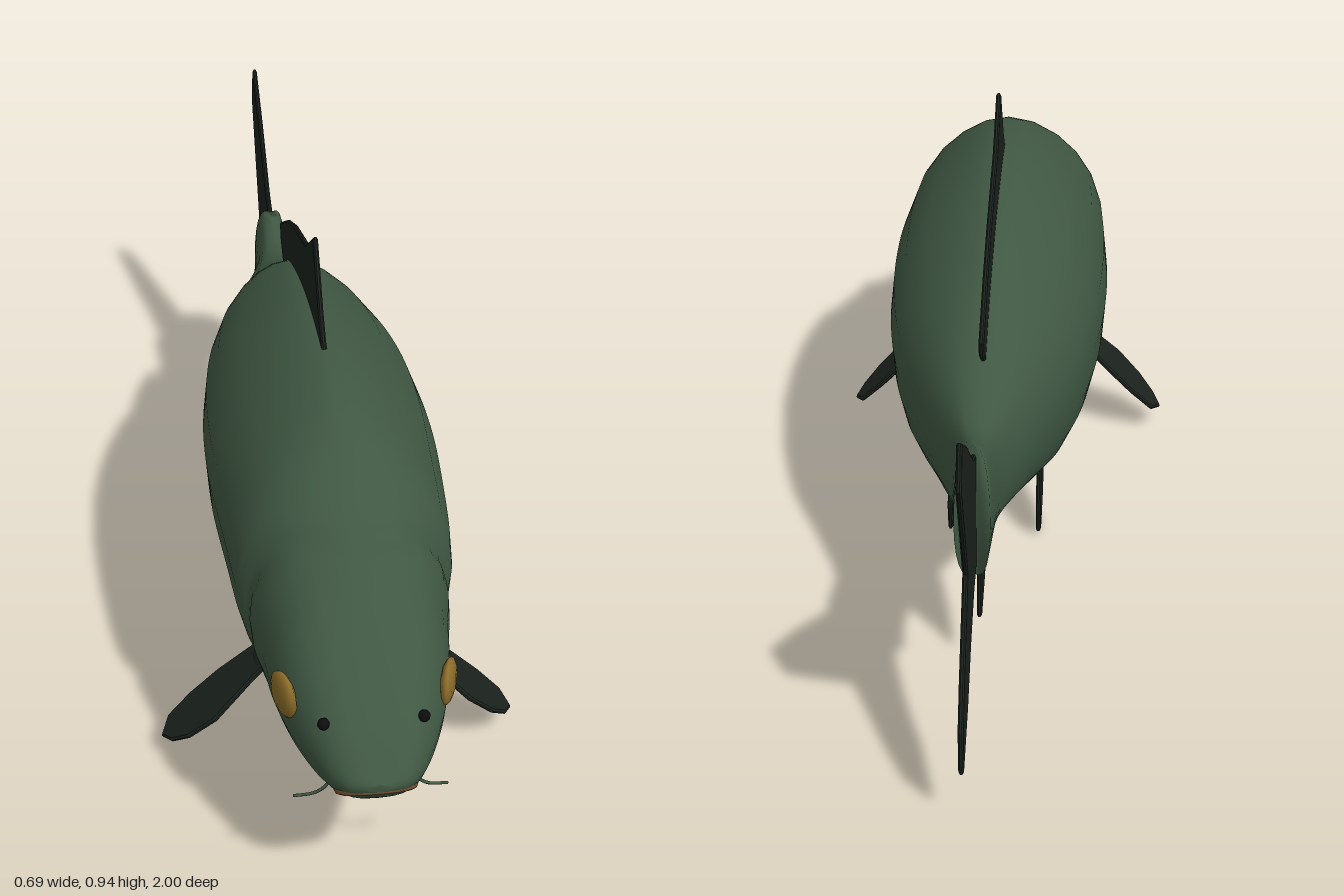
import * as THREE from 'three';

const mat = (color, side = THREE.FrontSide) => new THREE.MeshStandardMaterial({ color, side });
const skin = mat(0x405843);
const finMat = mat(0x1b221d, THREE.DoubleSide);
const gold = mat(0x8c6d2a);
const lipMat = mat(0x7a5730);
const dark = mat(0x0c0d0c);

// Body outline along z: back, belly and half width
const back = [[1, 0.36], [0.94, 0.43], [0.8, 0.55], [0.66, 0.645], [0.45, 0.75], [0.25, 0.775], [0, 0.753], [-0.25, 0.68], [-0.42, 0.585], [-0.55, 0.552], [-0.65, 0.578]];
const belly = [[1, 0.345], [0.97, 0.305], [0.9, 0.272], [0.65, 0.235], [0.25, 0.193], [0.03, 0.198], [-0.2, 0.24], [-0.42, 0.31], [-0.55, 0.333], [-0.65, 0.308]];
const girth = [[1, 0.02], [0.99, 0.052], [0.94, 0.095], [0.8, 0.157], [0.66, 0.191], [0.4, 0.213], [0.2, 0.222], [0, 0.212], [-0.2, 0.176], [-0.4, 0.102], [-0.55, 0.047], [-0.65, 0.033]];

// Smooth curve through [z, value] points listed from nose to tail
function curveAt(points, z) {
  const last = points.length - 1;
  let i = 0;
  while (i < last - 1 && z < points[i + 1][0]) i++;
  const slope = (k) => {
    const a = points[Math.max(k - 1, 0)], b = points[Math.min(k + 1, last)];
    return (b[1] - a[1]) / (b[0] - a[0]);
  };
  const [z0, v0] = points[i], [z1, v1] = points[i + 1];
  const h = z1 - z0, t = (z - z0) / h, u = 1 - t;
  return v0 * u * u * (1 + 2 * t) + v1 * t * t * (3 - 2 * t) + h * t * u * (u * slope(i) - t * slope(i + 1));
}

const bump = (z, centre, width) => Math.exp(-(((z - centre) / width) ** 2));
const { smoothstep } = THREE.MathUtils;

function bodyGeometry(rings = 110, sides = 24) {
  const pos = [], index = [];
  for (let i = 0; i <= rings; i++) {
    const z = 1 - 1.65 * (i / rings) ** 1.4;
    // Gill cover and cheek grooves, swept backward on the flanks like the tail root
    const groove = 1 - 0.05 * bump(z, 0.672, 0.018) - 0.02 * bump(z, 0.75, 0.02);
    const sweep = -0.09 * bump(z, 0.675, 0.1) - 0.045 * (1 - smoothstep(z, -0.65, -0.55));
    const ridge = (1 - smoothstep(z, 0.35, 0.72)) * smoothstep(z, -0.6, -0.1);
    const top = curveAt(back, z), bottom = curveAt(belly, z);
    const w = curveAt(girth, z) * groove, h = ((top - bottom) / 2) * groove;
    for (let j = 0; j < sides; j++) {
      const a = (j / sides) * Math.PI * 2;
      const c = Math.cos(a), s = Math.sin(a);
      // Broad belly, blunt head, narrow ridge along the back
      const power = c < 0 ? 0.75 : 0.65 + 0.35 * ridge;
      const pinch = c > 0 ? 1 - 0.42 * ridge * c ** 4 : 1;
      pos.push(Math.sign(s) * w * Math.abs(s) ** power * pinch, (top + bottom) / 2 + h * c, z + sweep * Math.abs(s));
    }
  }
  for (let i = 0; i < rings; i++) {
    for (let j = 0; j < sides; j++) {
      const k = (j + 1) % sides, p = i * sides, q = p + sides;
      index.push(p + j, p + k, q + j, p + k, q + k, q + j);
    }
  }
  // Close the nose and the tail root
  const end = rings * sides;
  for (let j = 1; j < sides - 1; j++) index.push(0, j + 1, j, end, end + j, end + j + 1);
  const g = new THREE.BufferGeometry();
  g.setAttribute('position', new THREE.Float32BufferAttribute(pos, 3));
  g.setIndex(index);
  g.computeVertexNormals();
  return g;
}

// Thin bevelled fin from an outline of [z, y] points, centred on x = 0
function fin(group, name, points) {
  const shape = new THREE.Shape(points.map(([z, y]) => new THREE.Vector2(z, y)));
  const g = new THREE.ExtrudeGeometry(shape, {
    depth: 0.004, bevelThickness: 0.003, bevelSize: 0.004, bevelOffset: -0.004, bevelSegments: 1,
  });
  g.translate(0, 0, -0.002).rotateY(-Math.PI / 2);
  return add(group, name, g, finMat);
}

function add(group, name, geometry, material, position = [0, 0, 0]) {
  const m = new THREE.Mesh(geometry, material);
  m.name = name;
  m.position.set(...position);
  group.add(m);
  return m;
}

export function createModel() {
  const fish = new THREE.Group();
  fish.name = 'fish';
  add(fish, 'body', bodyGeometry(), skin);

  // Fins on the centre line
  fin(fish, 'dorsalFin', [
    [0.26, 0.765], [0.2, 0.825], [0.115, 0.94], [0, 0.86], [-0.19, 0.797], [-0.31, 0.743],
    [-0.437, 0.668], [-0.425, 0.635], [-0.35, 0.58], [-0.2, 0.66], [0, 0.72], [0.2, 0.74],
  ]);
  fin(fish, 'tailFin', [
    [-0.64, 0.555], [-0.715, 0.588], [-0.85, 0.692], [-0.975, 0.77], [-1, 0.69], [-0.94, 0.58], [-0.865, 0.445],
    [-0.965, 0.285], [-1, 0.21], [-0.99, 0.115], [-0.88, 0.177], [-0.795, 0.255], [-0.71, 0.31], [-0.64, 0.33],
  ]);
  fin(fish, 'analFin', [
    [-0.24, 0.27], [-0.34, 0.187], [-0.42, 0.145], [-0.505, 0.115], [-0.5, 0.2], [-0.505, 0.33], [-0.46, 0.345], [-0.3, 0.32],
  ]);

  // Mouth, tilted forward and down
  const mouth = new THREE.Group();
  mouth.name = 'mouth';
  mouth.position.set(0, 0.316, 0.95);
  mouth.rotation.x = 0.92;
  add(mouth, 'lips', new THREE.TorusGeometry(0.055, 0.012, 8, 24), lipMat).scale.set(1.12, 0.88, 1);
  add(mouth, 'mouthInside', new THREE.SphereGeometry(0.05, 16, 8), skin).scale.set(1.1, 0.85, 0.2);
  fish.add(mouth);

  for (const [side, s] of [['left', 1], ['right', -1]]) {
    // Eye set into the slope of the cheek
    const eye = add(fish, side + 'Eye', new THREE.SphereGeometry(0.044, 10, 8), gold, [s * 0.146, 0.43, 0.822]);
    eye.scale.x = 0.32;
    eye.rotation.y = -s * 0.36;

    add(fish, side + 'Nostril', new THREE.SphereGeometry(0.011, 10, 8), dark, [s * 0.088, 0.434, 0.914]);

    // Barbel curling out from the corner of the mouth
    const curve = new THREE.CatmullRomCurve3([
      [0.072, 0.31, 0.91], [0.083, 0.285, 0.907], [0.103, 0.267, 0.902], [0.138, 0.256, 0.893],
    ].map(([x, y, z]) => new THREE.Vector3(s * x, y, z)));
    add(fish, side + 'Barbel', new THREE.TubeGeometry(curve, 10, 0.003, 6), skin);

    // Paired fins: pelvic hangs straight, pectoral spreads at 45 degrees
    const pelvic = fin(fish, side + 'PelvicFin', [
      [0.22, 0.205], [0.14, 0.11], [0.08, 0.04], [0.01, 0.005], [-0.03, 0.014], [-0.046, 0.075],
      [-0.02, 0.16], [0.03, 0.225], [0.15, 0.235],
    ]);
    pelvic.position.x = s * 0.092;

    const pectoral = fin(fish, side + 'PectoralFin', [
      [0.515, 0.03], [0.525, -0.05], [0.546, -0.15], [0.53, -0.22], [0.5, -0.265], [0.465, -0.288],
      [0.425, -0.265], [0.415, -0.2], [0.418, -0.12], [0.435, -0.02], [0.445, 0.03],
    ]);
    pectoral.position.set(s * 0.14, 0.25, 0);
    pectoral.rotation.z = (s * Math.PI) / 4;

    // Thick root of the pectoral fin
    const root = add(fish, side + 'PectoralRoot', new THREE.SphereGeometry(0.04, 12, 8), finMat, [s * 0.147, 0.243, 0.478]);
    root.scale.set(0.25, 0.6, 1);
    root.rotation.z = (s * Math.PI) / 4;
  }
  return fish;
}
